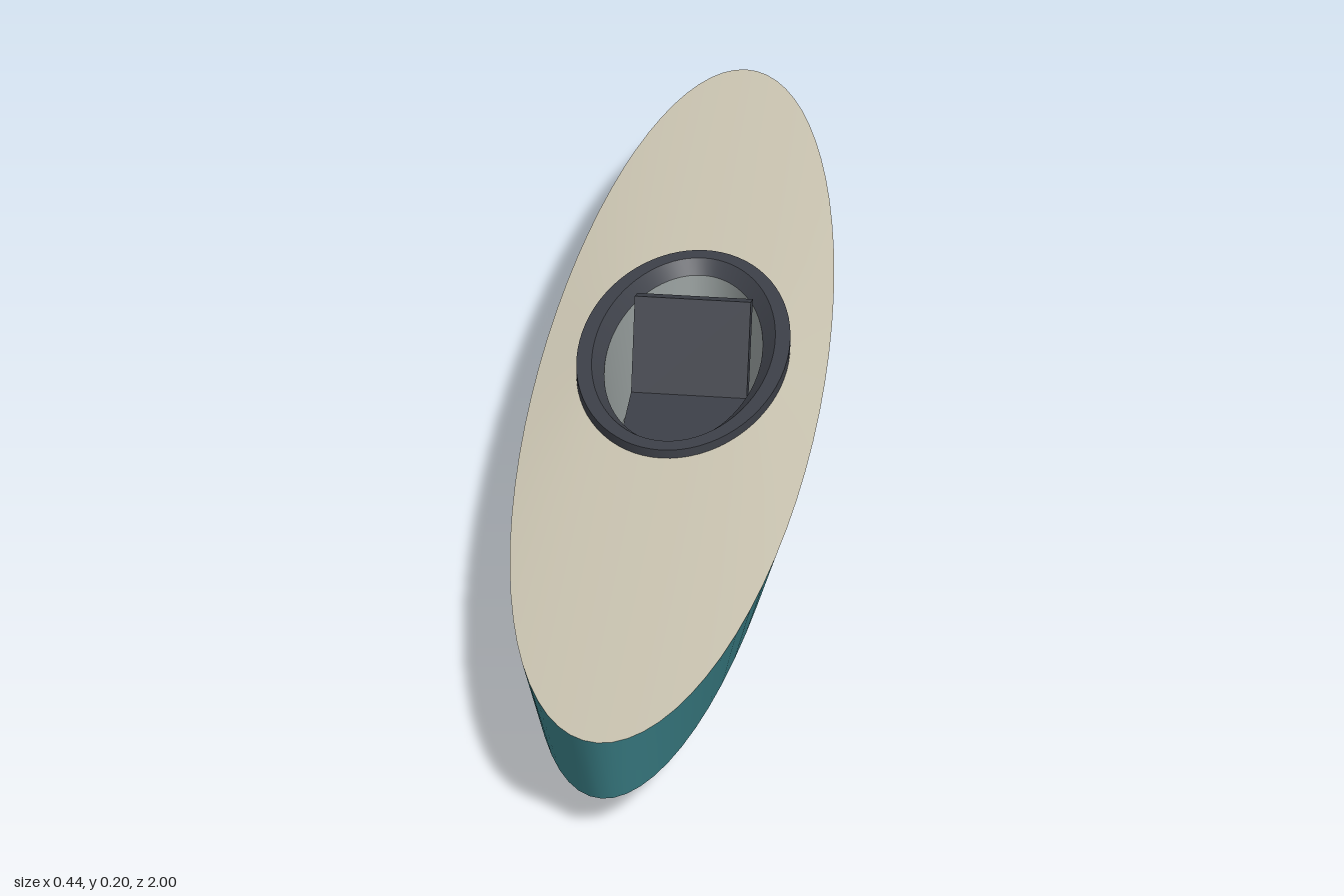
import * as THREE from 'three';

const SEG = 72;
const mat = (name, color) => {
  const m = new THREE.MeshStandardMaterial({ color });
  m.name = name;
  return m;
};

// Joins elliptical rings [rx, rz, y(z), centreZ]; every band keeps its own
// normals, so it is smooth around and sharp between bands.
// Order: up the outside, inwards over the top, down the inside.
function loft(rings) {
  const pos = [], idx = [];
  const addRing = ([rx, rz, y, cz = 0]) => {
    const start = pos.length / 3;
    for (let i = 0; i < SEG; i++) {
      const a = (i / SEG) * Math.PI * 2;
      const c = Math.cos(a);
      pos.push(rx * Math.sin(a), typeof y === 'function' ? y(c) : y, cz + rz * c);
    }
    return start;
  };
  for (let r = 0; r < rings.length - 1; r++) {
    const a = addRing(rings[r]), b = addRing(rings[r + 1]);
    for (let i = 0; i < SEG; i++) {
      const j = (i + 1) % SEG;
      idx.push(a + i, a + j, b + i, a + j, b + j, b + i);
    }
  }
  const g = new THREE.BufferGeometry();
  g.setAttribute('position', new THREE.Float32BufferAttribute(pos, 3));
  g.setIndex(idx);
  g.computeVertexNormals();
  return g;
}

export function createModel() {
  const hullMat = mat('teal hull', 0x3a7f86);
  const deckMat = mat('sand deck', 0xc9c3b0);
  const tubMat = mat('grey lining', 0x929998);
  const darkMat = mat('charcoal', 0x3d4048);

  const model = new THREE.Group();
  model.name = 'kayak';
  const add = (name, geometry, material, parent = model) => {
    const m = new THREE.Mesh(geometry, material);
    m.name = name;
    parent.add(m);
    return m;
  };
  const box = (name, w, h, d, y, z, parent) => {
    const m = add(name, new THREE.BoxGeometry(w, h, d), darkMat, parent);
    m.position.set(0, y, z);
    return m;
  };

  // Hull with a chine and a sheer line that rises to both ends
  const sheer = (c) => 0.152 + 0.024 * c * c;
  add('hull', loft([
    [0, 0, 0], [0.11, 0.83, 0], [0.187, 0.968, 0.063], [0.218, 1, sheer],
  ]), hullMat);

  // Deck running in to the cockpit opening
  const CZ = -0.035;
  add('deck', loft([[0.218, 1, sheer], [0.145, 0.288, 0.168, CZ]]), deckMat);

  // Raised rim around the cockpit
  add('coaming', loft([
    [0.16, 0.305, 0.164, CZ], [0.16, 0.305, 0.182, CZ],
    [0.137, 0.279, 0.182, CZ], [0.118, 0.255, 0.164, CZ],
  ]), darkMat);

  // Cockpit lining and floor
  add('cockpitTub', loft([
    [0.118, 0.255, 0.164, CZ], [0.1, 0.225, 0.02, CZ], [0, 0, 0.02, CZ],
  ]), tubMat);

  // Seat, reclined backrest and foot brace
  const seat = new THREE.Group();
  seat.name = 'seat';
  model.add(seat);
  box('seatBase', 0.18, 0.035, 0.21, 0.0375, -0.005, seat);
  const back = box('backrest', 0.18, 0.17, 0.036, 0.1095, -0.143, seat);
  back.rotation.x = -0.37;
  box('footBrace', 0.145, 0.05, 0.036, 0.045, 0.147);

  return model;
}
